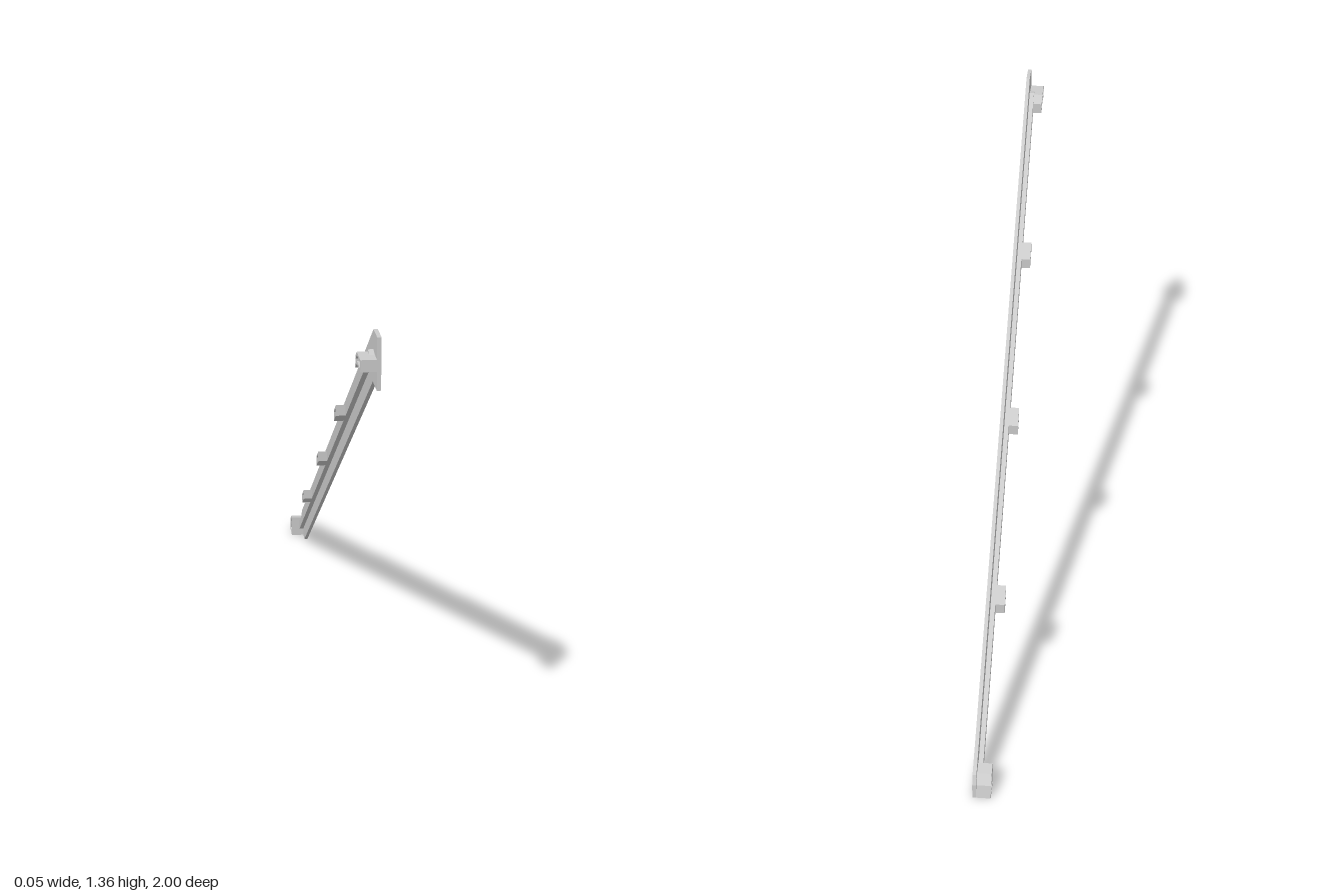
import * as THREE from 'three';

const material = new THREE.MeshStandardMaterial({ color: 0xcccccc });
const SLOPE = 0.672;
const topY = z => 1.36 + (z - 0.93) * SLOPE;   // upper edge of the sloping plate
const bottomY = z => (z + 0.89) * SLOPE;       // lower edge
const midY = z => (topY(z) + bottomY(z)) / 2;

// Extrudes a [z, y] outline between x0 and x1, optionally with a hole
function profile(name, points, x0, x1, hole) {
  const toVec = p => new THREE.Vector2(p[0], p[1]);
  const shape = new THREE.Shape(points.map(toVec));
  if (hole) shape.holes.push(new THREE.Path(hole.map(toVec)));
  const geometry = new THREE.ExtrudeGeometry(shape, { depth: x1 - x0, bevelEnabled: false });
  geometry.rotateY(-Math.PI / 2);
  geometry.translate(x1, 0, 0);
  const mesh = new THREE.Mesh(geometry, material);
  mesh.name = name;
  return mesh;
}

// Sloping sleeve outline with vertical ends
const sleeve = (z, half, h) => [
  [z - half, midY(z - half) - h], [z + half, midY(z + half) - h],
  [z + half, midY(z + half) + h], [z - half, midY(z - half) + h],
];

export function createModel() {
  const group = new THREE.Group();
  group.name = 'slopingRail';

  // Side plate in four butted lengths, with shaped ends
  const joints = [-0.505, -0.025, 0.455];
  const lowEnd = [[-0.89, 0], [-1, 0], [-0.997, 0.045], [-0.985, 0.075], [-0.965, topY(-0.965)]];
  const highEnd = [[0.93, 1.36], [1, 1.36], [1, 1.22], [0.925, bottomY(0.925)]];
  for (let i = 0; i <= joints.length; i++) {
    const a = joints[i - 1], b = joints[i];
    const start = i === 0 ? lowEnd : [[a, bottomY(a)], [a, topY(a)]];
    const end = i === joints.length ? highEnd : [[b, topY(b)], [b, bottomY(b)]];
    group.add(profile('sidePlate' + (i + 1), [...start, ...end], 0.014, 0.025));
  }

  // Rib along the inner face
  const h = 0.016;
  group.add(profile('innerRib', [
    [-0.95, midY(-0.95) - h], [0.93, midY(0.93) - h], [0.97, 1.27],
    [0.97, 1.3], [0.93, midY(0.93) + h], [-0.95, midY(-0.95) + h],
  ], 0, 0.0145));

  // Hollow sleeves over the joints
  for (const z of [-0.505, -0.03, 0.445]) {
    group.add(profile('jointSleeve', sleeve(z, 0.025, h), -0.028, 0.004, sleeve(z, 0.017, 0.009)));
  }

  // Bent sleeve at the high end
  group.add(profile('topSleeve',
    [[0.9, 1.25], [0.93, 1.27], [1, 1.27], [1, 1.302], [0.93, 1.302], [0.9, 1.282]], -0.028, 0.0145,
    [[0.907, 1.264], [0.93, 1.278], [0.992, 1.278], [0.992, 1.294], [0.932, 1.294], [0.907, 1.277]]));

  // Foot at the low end
  group.add(profile('foot',
    [[-1, 0], [-0.93, 0], [-0.93, 0.07], [-0.965, 0.063], [-0.99, 0.04]], -0.028, 0.0145,
    [[-0.985, 0.01], [-0.94, 0.01], [-0.94, 0.058], [-0.962, 0.053], [-0.98, 0.035]]));

  return group;
}
